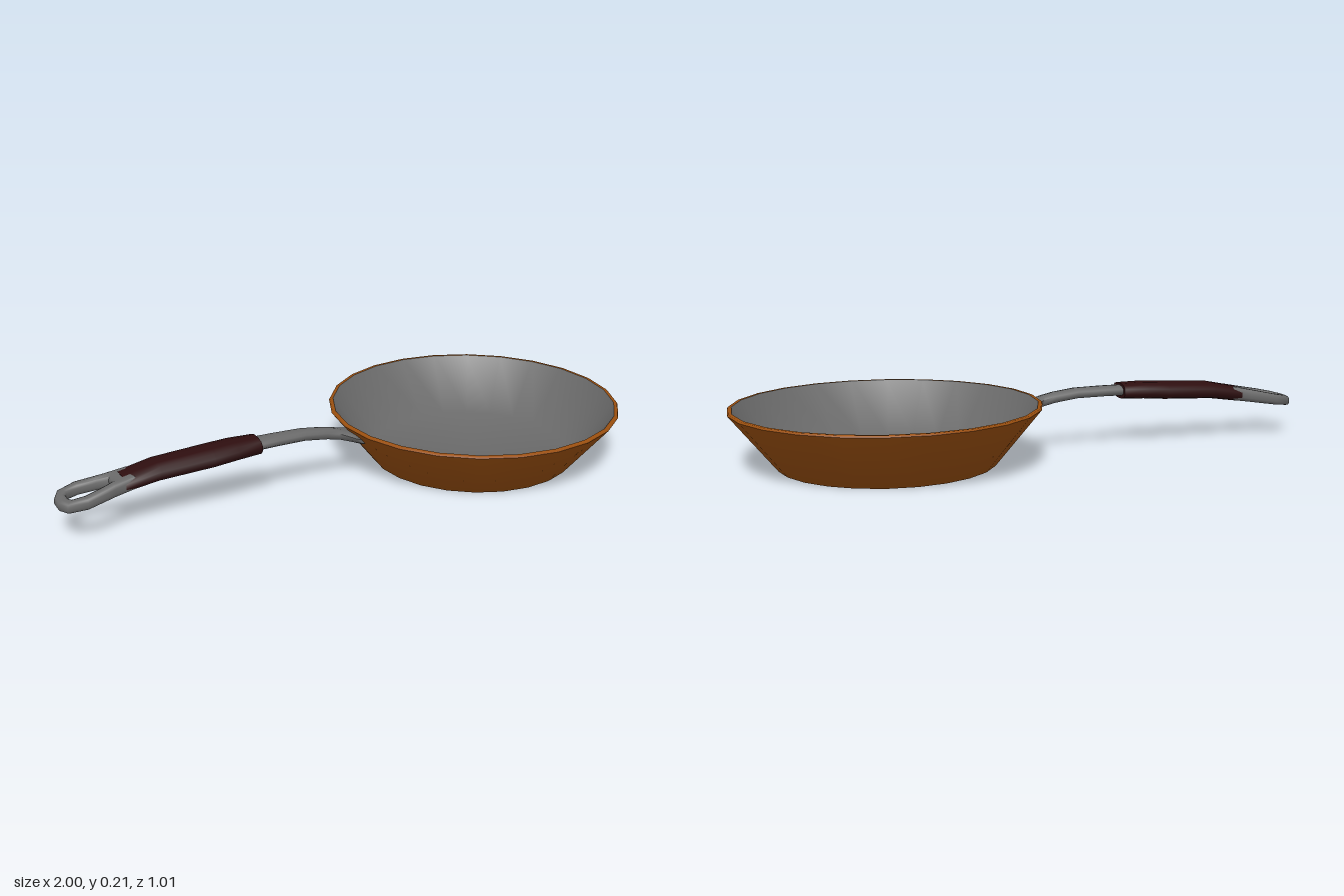
import * as THREE from 'three';
import { toCreasedNormals } from 'three/addons/utils/BufferGeometryUtils.js';

const material = (name, color) => {
  const m = new THREE.MeshStandardMaterial({ color });
  m.name = name;
  return m;
};

// Closed loft along x; each section is [x, y, halfHeight, halfWidth, lean].
function loft(sections, sides) {
  const pos = [], index = [];
  for (const [x, y, h, w, lean = 0] of sections) {
    for (let j = 0; j < sides; j++) {
      const a = ((j + 0.5) / sides) * Math.PI * 2;
      // slightly squared oval
      const s = Math.sign(Math.sin(a)) * Math.abs(Math.sin(a)) ** 0.8;
      const c = Math.sign(Math.cos(a)) * Math.abs(Math.cos(a)) ** 0.8;
      pos.push(x - lean * h * s, y + h * s, w * c);
    }
  }
  const n = sections.length;
  for (let i = 0; i < n - 1; i++) {
    for (let j = 0; j < sides; j++) {
      const k = (j + 1) % sides;
      const a = i * sides + j, b = a + sides, c = (i + 1) * sides + k, d = i * sides + k;
      index.push(a, b, c, a, c, d);
    }
  }
  // end caps
  const last = (n - 1) * sides;
  for (let j = 1; j < sides - 1; j++) {
    index.push(0, j, j + 1, last, last + j + 1, last + j);
  }
  const g = new THREE.BufferGeometry();
  g.setAttribute('position', new THREE.Float32BufferAttribute(pos, 3));
  g.setIndex(index);
  return toCreasedNormals(g, 1.0);
}

// Outline mirrored across the x axis, from points on its +side.
function mirrored(points) {
  const all = [...points, ...points.slice().reverse().map(([x, y]) => [x, -y])];
  return all.map(([x, y]) => new THREE.Vector2(x, y));
}

export function createModel() {
  const group = new THREE.Group();
  const copper = material('copper', 0x9a4f0f);
  const steel = material('steel', 0x696969);
  const grip = material('dark grip', 0x2e0e0f);

  const add = (name, geometry, mat) => {
    const mesh = new THREE.Mesh(geometry, mat);
    mesh.name = name;
    group.add(mesh);
    return mesh;
  };
  const lathe = (name, points, mat) => {
    const g = new THREE.LatheGeometry(points.map(([r, y]) => new THREE.Vector2(r, y)), 24);
    add(name, g, mat).position.x = 0.49;
  };

  // Pan bowl: outer shell, lip and cooking surface
  lathe('outerShell', [[0, 0], [0.355, 0], [0.505, 0.186]], copper);
  lathe('rim', [[0.505, 0.186], [0.502, 0.192], [0.491, 0.192]], copper);
  lathe('cookingSurface', [[0.491, 0.192], [0.345, 0.012], [0, 0.012]], steel);

  // Metal neck flaring onto the pan wall
  add('handleNeck', loft([
    [-0.36, 0.187, 0.018, 0.038],
    [-0.27, 0.188, 0.018, 0.034],
    [-0.17, 0.187, 0.018, 0.03],
    [-0.09, 0.177, 0.019, 0.028, 0.15],
    [-0.045, 0.167, 0.02, 0.028, 0.3],
    [-0.012, 0.156, 0.021, 0.042, 0.6],
    [0.01, 0.149, 0.022, 0.058, 0.79],
    [0.027, 0.145, 0.022, 0.06, 0.79],
  ], 10), steel);

  // Dark grip
  add('handleGrip', loft([
    [-0.795, 0.148, 0.026, 0.054],
    [-0.68, 0.168, 0.029, 0.059],
    [-0.5, 0.178, 0.03, 0.062],
    [-0.42, 0.184, 0.029, 0.059],
    [-0.335, 0.186, 0.027, 0.05],
  ], 12), grip);

  // Hanging loop: bevelled plate with a hole, tilted and thinned to its tip
  const bevel = 0.012;
  const shape = new THREE.Shape(mirrored([
    [-0.77, 0.037], [-0.83, 0.046], [-0.92, 0.067], [-0.972, 0.053], [-0.988, 0.02],
  ]));
  shape.holes.push(new THREE.Path(mirrored([
    [-0.815, 0.024], [-0.86, 0.043], [-0.92, 0.054], [-0.96, 0.044], [-0.978, 0.02],
  ].map(([x, z]) => [-0.9 + (x + 0.9) * 1.06, z]))));
  // the hole keeps its size after the bevel narrows it
  shape.holes[0] = new THREE.Path(mirrored([
    [-0.815, 0.026], [-0.86, 0.04], [-0.92, 0.051], [-0.965, 0.042], [-0.976, 0.018],
  ]));
  const loop = new THREE.ExtrudeGeometry(shape, {
    depth: 0.016, bevelEnabled: true, bevelThickness: bevel, bevelSize: bevel, bevelSegments: 2,
  });
  loop.translate(0, 0, -0.008);
  loop.rotateX(-Math.PI / 2);
  const p = loop.attributes.position;
  for (let i = 0; i < p.count; i++) {
    const t = (p.getX(i) + 1) / 0.2;
    p.setY(i, p.getY(i) * (0.8 + 0.35 * t) + 0.114 + 0.034 * t);
  }
  add('hangingLoop', toCreasedNormals(loop, 1.0), steel);

  return group;
}
